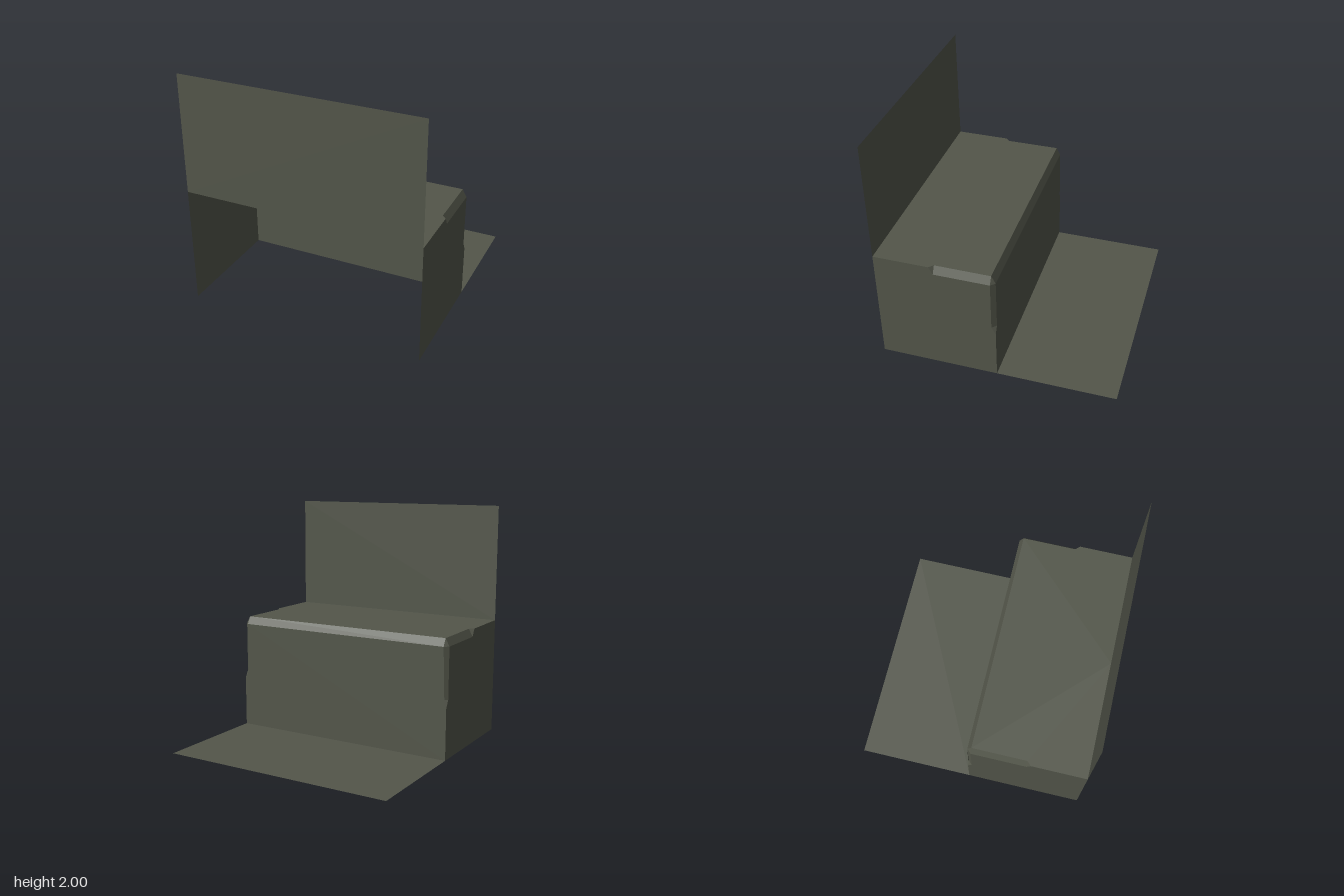
import * as THREE from 'three';

const olive = new THREE.MeshStandardMaterial({ color: 0x53564a, side: THREE.DoubleSide });
olive.name = 'olive grey';

// Flat polygon drawn as a fan around its first corner
function face(name, points) {
  const positions = [];
  for (let i = 1; i < points.length - 1; i++) {
    positions.push(...points[0], ...points[i], ...points[i + 1]);
  }
  const geometry = new THREE.BufferGeometry();
  geometry.setAttribute('position', new THREE.Float32BufferAttribute(positions, 3));
  geometry.computeVertexNormals();
  const mesh = new THREE.Mesh(geometry, olive);
  mesh.name = name;
  return mesh;
}

// Completes a half outline (x >= 0) with its mirror image, around a centre point
function symmetric(centre, half) {
  const mirrored = half.map(([x, y, z]) => [-x, y, z]).reverse();
  return [centre, ...half, ...mirrored];
}

export function createModel() {
  const group = new THREE.Group();
  group.name = 'steppedLedge';

  const C = 0.035;      // bevel width across the top and back
  const X = 1 - C;      // inner edge of the side bevels
  const D = 0.065;      // bevel drop
  const Y = 1 - D;      // lower edge of the top bevels
  const M = 0.5;        // where the side bevels stop

  // Large flat sheets
  group.add(
    face('upperPanel', [[-1, 1, 1], [1, 1, 1], [1, 2, 1], [-1, 2, 1]]),
    face('lowerFloor', [[-1, 0, 0], [1, 0, 0], [1, 0, -1], [-1, 0, -1]]),
    face('ledgeTop', symmetric([0, 1, 1],
      [[1, 1, 1], [1, 1, M + C], [X, 1, M], [X, 1, C]])),
    face('backWall', symmetric([0, 0, 0],
      [[1, 0, 0], [1, M - D, 0], [X, M, 0], [X, Y, 0]]).reverse()),
    face('backTopBevel', [[X, 1, C], [X, Y, 0], [-X, Y, 0], [-X, 1, C]]),
  );

  // Side walls with their bevels and bevel ends
  for (const s of [1, -1]) {
    const side = new THREE.Group();
    side.name = s > 0 ? 'leftSide' : 'rightSide';
    const add = (name, points) => {
      const placed = points.map(([x, y, z]) => [s * x, y, z]);
      side.add(face(name, s > 0 ? placed : placed.reverse()));
    };
    // Split at the mid height so each piece stays a simple fan
    add('sideWallFront', [[1, 0, 1], [1, 0, M], [1, Y, M], [1, 1, M + C], [1, 1, 1]]);
    add('sideWallBack', [[1, 0, M], [1, 0, 0], [1, M - D, 0], [1, M, C], [1, M, M]]);
    add('sideWallUpper', [[1, M, M], [1, M, C], [1, Y, C], [1, Y, M]]);
    add('topBevel', [[X, 1, M], [1, Y, M], [1, Y, C], [X, 1, C]]);
    add('topBevelEnd', [[X, 1, M], [1, 1, M + C], [1, Y, M]]);
    add('cornerBevel', [[1, Y, C], [1, M, C], [X, M, 0], [X, Y, 0]]);
    add('cornerBevelEnd', [[1, M, C], [1, M - D, 0], [X, M, 0]]);
    add('cornerFacet', [[X, 1, C], [1, Y, C], [X, Y, 0]]);
    group.add(side);
  }

  return group;
}
